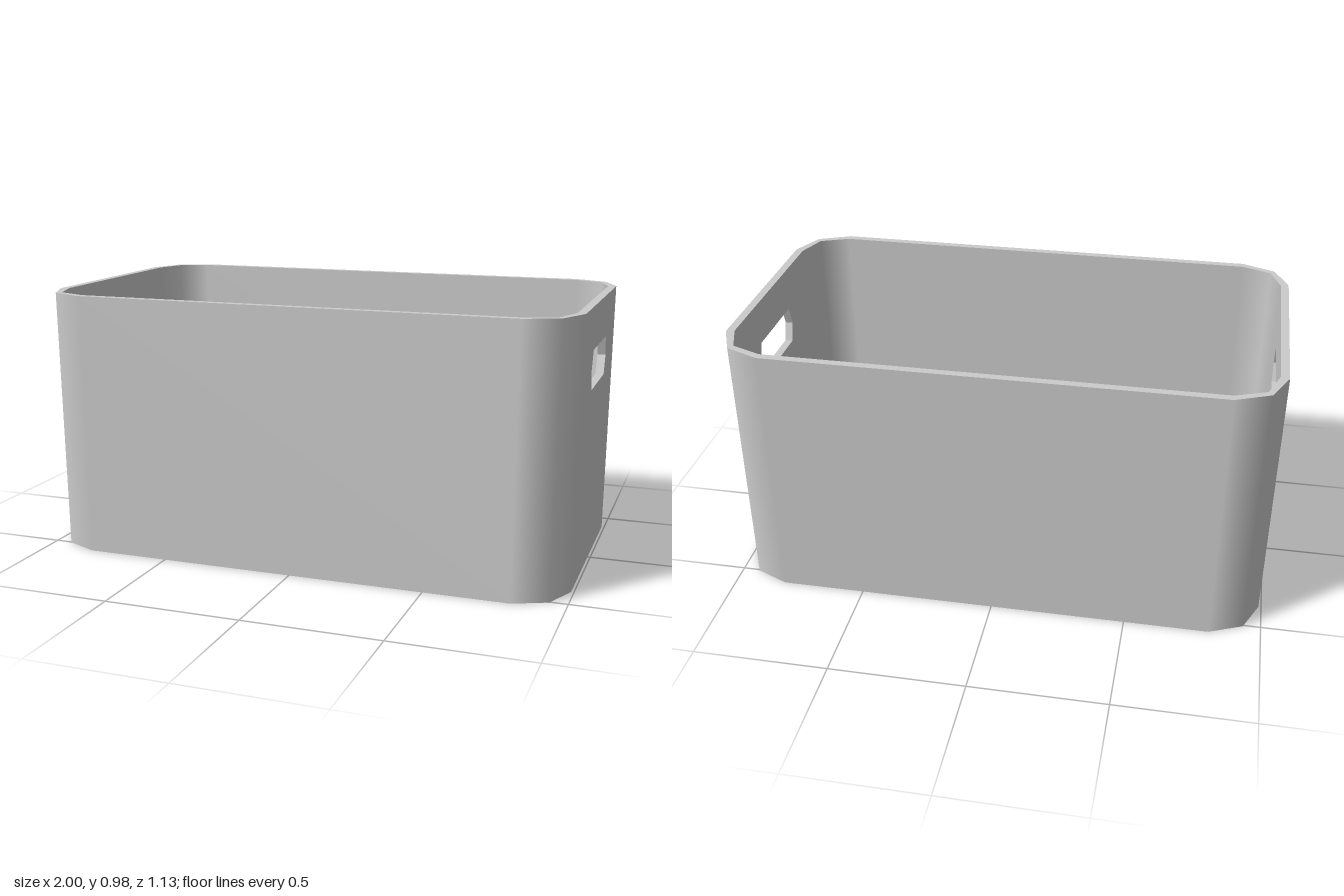
import * as THREE from 'three';

const H = 0.98, FLOOR = 0.03;
const OUTER = [[1, 0.385], [0.945, 0.51], [0.82, 0.565]];
const INNER = [[0.97, 0.375], [0.93, 0.49], [0.82, 0.535]];
const NORMALS = [[1, 0], [Math.SQRT1_2, Math.SQRT1_2], [0, 1]];
// grip hole as (u, y), counter-clockwise
const GRIP = [[-0.155, 0.675], [0.155, 0.675], [0.18, 0.745], [0.155, 0.82], [-0.155, 0.82], [-0.18, 0.745]];

// mirror one corner into a closed ring of twelve points, running from +x towards +z
function ring(q) {
  const half = [...q, ...q.map(([x, z]) => [-x, z]).reverse()];
  return [...half, ...half.map(([x, z]) => [-x, -z])];
}

// the walls lean outwards slightly towards the rim
const taper = y => 0.99 + 0.01 * y / H;
const at = ([x, z], y) => [x * taper(y), y, z * taper(y)];

// mesh from polygons [points, optional normals], each cut into a fan
function polyMesh(name, polys, material) {
  const pos = [], nor = [];
  for (const [pts, normals] of polys) {
    const [a, b, c] = pts.map(p => new THREE.Vector3(...p));
    const flat = b.clone().sub(a).cross(c.clone().sub(a)).normalize().toArray();
    for (let i = 1; i < pts.length - 1; i++) {
      for (const k of [0, i, i + 1]) {
        pos.push(...pts[k]);
        nor.push(...(normals ? normals[k] : flat));
      }
    }
  }
  const g = new THREE.BufferGeometry();
  g.setAttribute('position', new THREE.Float32BufferAttribute(pos, 3));
  g.setAttribute('normal', new THREE.Float32BufferAttribute(nor, 3));
  const mesh = new THREE.Mesh(g, material);
  mesh.name = name;
  return mesh;
}

// long sides and rounded corners; sign 1 faces out, -1 faces in
function wallPolys(points, y0, sign) {
  const n = ring(NORMALS).map(([x, z]) => [x * sign, 0, z * sign]);
  const polys = [];
  points.forEach((p, i) => {
    if (i % 6 === 5) return; // the ends are separate panels
    const j = (i + 1) % 12, q = points[j];
    const quad = [at(p, y0), at(p, H), at(q, H), at(q, y0)];
    const normals = [n[i], n[i], n[j], n[j]];
    polys.push(sign > 0 ? [quad, normals] : [quad.reverse(), normals.reverse()]);
  });
  return polys;
}

// end panel with grip hole at x, facing dir
function endPanel(name, x, halfZ, y0, dir, material) {
  const a = halfZ * taper(y0), b = halfZ * taper(H);
  const shape = new THREE.Shape([[-a, y0], [a, y0], [b, H], [-b, H]].map(p => new THREE.Vector2(...p)));
  shape.holes.push(new THREE.Path(GRIP.map(p => new THREE.Vector2(...p)).reverse()));
  const g = new THREE.ShapeGeometry(shape);
  const pos = g.attributes.position;
  for (let i = 0; i < pos.count; i++) {
    const u = pos.getX(i), y = pos.getY(i);
    pos.setXYZ(i, x * taper(y), y, -u * dir);
  }
  g.computeVertexNormals();
  const mesh = new THREE.Mesh(g, material);
  mesh.name = name;
  return mesh;
}

export function createModel() {
  const group = new THREE.Group();
  group.name = 'storageBin';
  const mat = new THREE.MeshStandardMaterial({ color: 0xcccccc });
  const outer = ring(OUTER), inner = ring(INNER);

  // walls
  group.add(polyMesh('outerWall', wallPolys(outer, 0, 1), mat));
  group.add(polyMesh('innerWall', wallPolys(inner, FLOOR, -1), mat));

  // rim
  const rim = outer.map((p, i) => {
    const j = (i + 1) % 12;
    return [[at(p, H), at(inner[i], H), at(inner[j], H), at(outer[j], H)]];
  });
  group.add(polyMesh('rim', rim, mat));

  // underside and inside floor
  group.add(polyMesh('base', [[outer.map(p => at(p, 0))]], mat));
  group.add(polyMesh('floor', [[inner.map(p => at(p, FLOOR)).reverse()]], mat));

  // ends with grip holes
  for (const [side, s] of [['left', 1], ['right', -1]]) {
    const end = new THREE.Group();
    end.name = side + 'End';
    end.add(endPanel('outerEndPanel', s * OUTER[0][0], OUTER[0][1], 0, s, mat));
    end.add(endPanel('innerEndPanel', s * INNER[0][0], INNER[0][1], FLOOR, -s, mat));
    const edge = (x, [u, y]) => [s * x * taper(y), y, -u * s];
    const lining = GRIP.map((p, i) => {
      const q = GRIP[(i + 1) % GRIP.length];
      return [[edge(OUTER[0][0], p), edge(OUTER[0][0], q), edge(INNER[0][0], q), edge(INNER[0][0], p)]];
    });
    end.add(polyMesh('gripHoleEdge', lining, mat));
    group.add(end);
  }
  return group;
}
